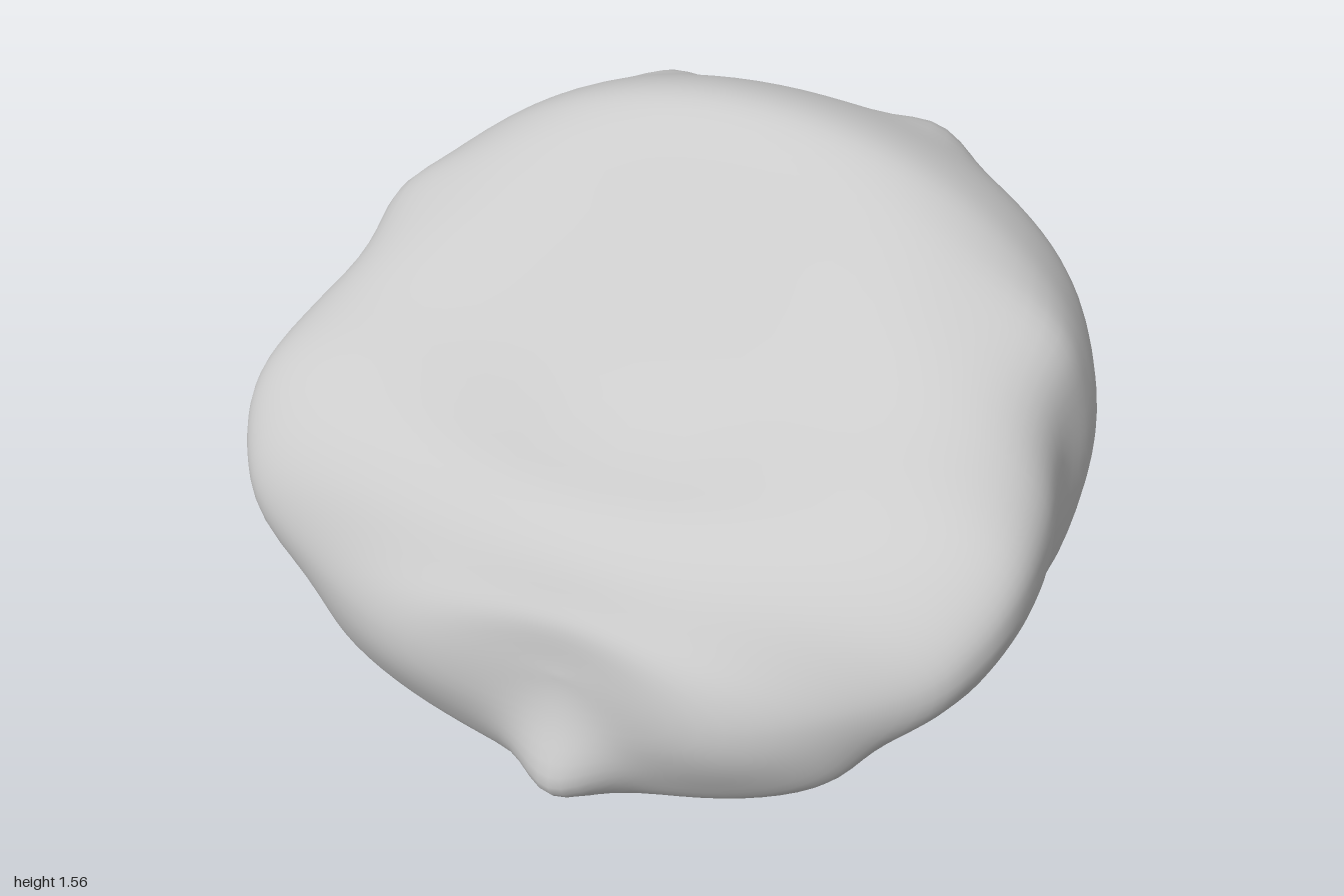
import * as THREE from 'three';

// Cross-sections, front to back: z, top, bottom, half width, widest height, upper and lower roundness
const SECTIONS = [
  [0.85, 0.58, 0.56, 0.01, 0.57, 2, 2],
  [0.835, 0.70, 0.42, 0.38, 0.57, 2, 2],
  [0.79, 0.79, 0.28, 0.64, 0.62, 2.2, 1.8],
  [0.72, 0.93, 0.17, 0.85, 0.71, 2.4, 1.75],
  [0.62, 1.04, 0.16, 0.95, 0.79, 2.6, 1.7],
  [0.48, 1.13, 0.18, 1.00, 0.86, 2.8, 1.75],
  [0.28, 1.245, 0.11, 0.995, 0.88, 2.6, 1.9],
  [0.05, 1.41, 0.06, 0.95, 0.87, 2.3, 2],
  [-0.12, 1.54, 0.08, 0.965, 0.87, 2.05, 2],
  [-0.27, 1.575, 0.13, 0.94, 0.88, 2, 2],
  [-0.48, 1.50, 0.25, 0.845, 0.90, 2.1, 2],
  [-0.66, 1.37, 0.42, 0.70, 0.90, 2.1, 2.1],
  [-0.78, 1.23, 0.51, 0.56, 0.89, 2.1, 2.1],
  [-0.84, 1.14, 0.60, 0.40, 0.89, 2.1, 2.1],
  [-0.87, 1.06, 0.71, 0.21, 0.89, 2.1, 2.1],
  [-0.88, 0.91, 0.89, 0.01, 0.90, 2, 2],
];

// Soft lumps and hollows: centre, radius, push; mirrored across x
const LUMPS = [
  [[0, 0.29, 0.79], 0.12, [0, -0.015, 0.045]],      // snout
  [[0, 0.60, 0.84], 0.20, [0, 0, -0.018]],          // hollow above snout
  [[0, 0.05, 0.05], 0.10, [0, -0.025, 0]],          // underside nub
  [[0.74, 0.55, 0.60], 0.14, [-0.07, 0.01, -0.03]], // cheek hollow
  [[0.38, 0.55, 0.82], 0.20, [0, 0, 0.025]],        // front corner
  [[0.39, 0.10, 0.08], 0.20, [0.035, -0.085, 0]],   // underside lobe
  [[0.88, 0.52, 0.02], 0.20, [0.03, -0.02, 0]],     // lower flank
  [[0.85, 1.19, -0.03], 0.16, [0.04, 0.025, 0]],    // upper flank
  [[0.37, 1.35, -0.63], 0.13, [0.01, 0.045, -0.02]], // rear knob
  [[0.58, 1.15, -0.60], 0.13, [-0.02, 0, 0.02]],    // hollow below knob
  [[0.46, 0.78, -0.80], 0.15, [0.015, 0, -0.03]],   // rear lobe
  [[0.40, 0.45, -0.62], 0.13, [0, 0.02, 0.02]],     // rear lower hollow
];

const spline = (a, b, c, d, t) =>
  0.5 * (2 * b + (c - a) * t + (2 * a - 5 * b + 4 * c - d) * t * t + (3 * b - a - 3 * c + d) * t ** 3);
const power = (v, n) => Math.sign(v) * Math.abs(v) ** (2 / n);

function sectionAt(u) {
  const last = SECTIONS.length - 1;
  const i = Math.min(Math.floor(u), last - 1);
  const at = (k) => SECTIONS[Math.max(0, Math.min(last, k))];
  return SECTIONS[i].map((_, k) => spline(at(i - 1)[k], at(i)[k], at(i + 1)[k], at(i + 2)[k], u - i));
}

function sculpt(p) {
  // broad bowl in the sloping upper front
  const upper = THREE.MathUtils.smoothstep(p.y, 0.65, 0.95);
  const dip = Math.exp(-((p.x / 0.5) ** 2) - ((p.z - 0.40) / 0.36) ** 2);
  p.y -= 0.16 * dip * upper;
  const base = p.clone();
  for (const [c, r, push] of LUMPS) {
    for (const s of [1, -1]) {
      const d2 = (base.x - s * c[0]) ** 2 + (base.y - c[1]) ** 2 + (base.z - c[2]) ** 2;
      const w = Math.exp(-d2 / (r * r));
      p.x += s * push[0] * w;
      p.y += push[1] * w;
      p.z += push[2] * w;
    }
  }
  p.y = Math.max(p.y, 0);
  return p;
}

function bodyGeometry() {
  const rows = (SECTIONS.length - 1) * 5, cols = 96;
  const pos = [], index = [];
  for (let j = 0; j <= rows; j++) {
    const [z, top, bottom, half, mid, nTop, nBottom] = sectionAt(j / 5);
    for (let i = 0; i < cols; i++) {
      const a = (i / cols) * Math.PI * 2;
      const up = Math.sin(a) >= 0;
      const n = up ? nTop : nBottom;
      const p = new THREE.Vector3(
        half * power(Math.cos(a), n),
        mid + (up ? top - mid : mid - bottom) * power(Math.sin(a), n),
        z);
      pos.push(...sculpt(p).toArray());
    }
  }
  for (let j = 0; j < rows; j++) {
    for (let i = 0; i < cols; i++) {
      const a = j * cols + i, b = j * cols + (i + 1) % cols;
      index.push(a, a + cols, b, b, a + cols, b + cols);
    }
  }
  // close both ends
  for (let i = 1; i < cols - 1; i++) {
    index.push(0, i, i + 1);
    index.push(rows * cols, rows * cols + i + 1, rows * cols + i);
  }
  const g = new THREE.BufferGeometry();
  g.setAttribute('position', new THREE.Float32BufferAttribute(pos, 3));
  g.setIndex(index);
  g.computeVertexNormals();
  return g;
}

export function createModel() {
  const group = new THREE.Group();
  const material = new THREE.MeshStandardMaterial({ color: 0xcccccc });
  const body = new THREE.Mesh(bodyGeometry(), material);
  body.name = 'body';
  group.add(body);
  return group;
}
